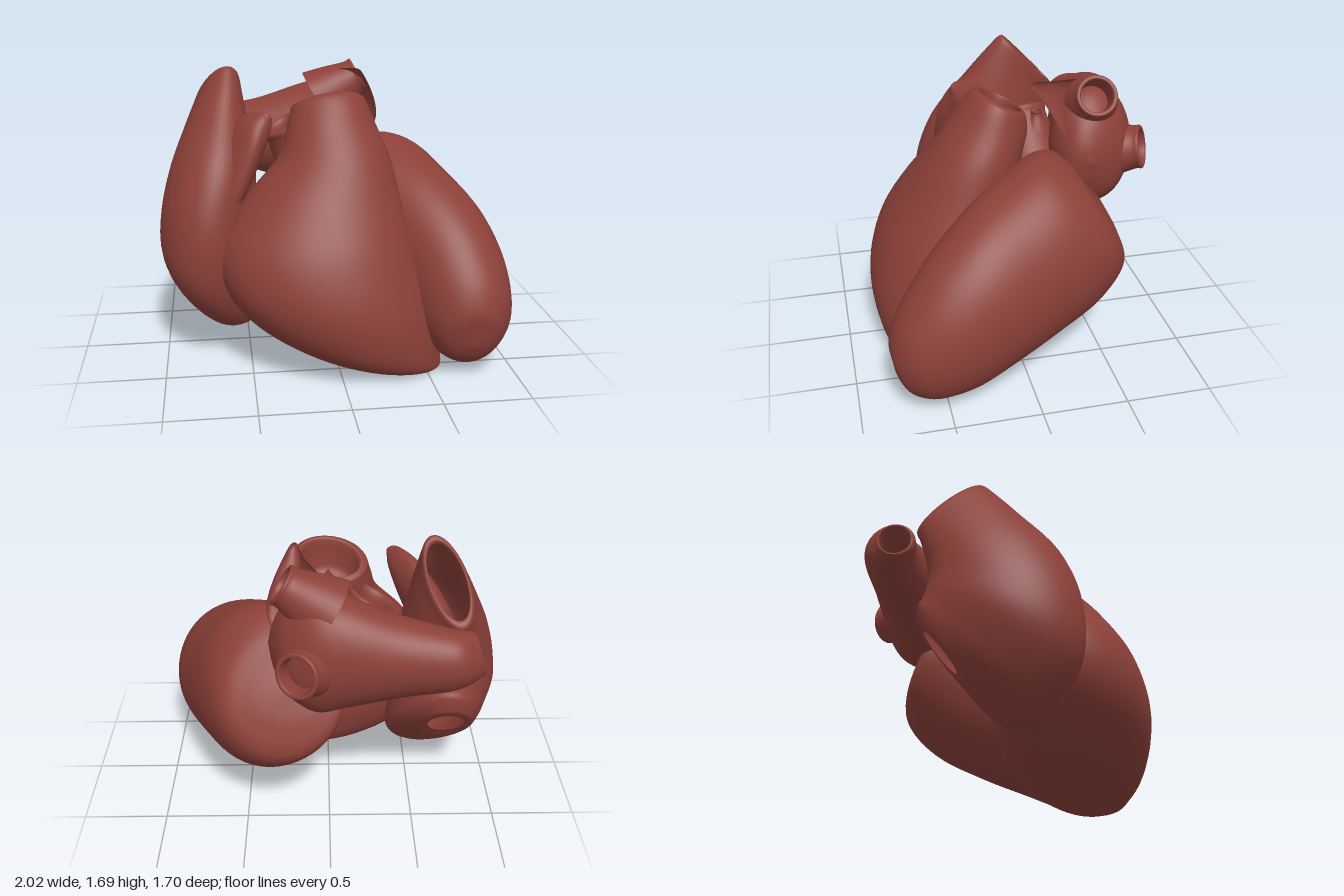
import * as THREE from 'three';

const muscle = new THREE.MeshStandardMaterial({ color: 0x8c4039 });
muscle.name = 'heart muscle red';

const vec = (p) => new THREE.Vector3(...p);

// Smooth skin through elliptical rings. Each ring is [A, B, W]:
// A and B are opposite ends of one axis, W is the other half axis.
function loft(name, rings, sides = 56, steps = 7) {
  const spline = (k) => new THREE.CatmullRomCurve3(rings.map((r) => vec(r[k])), false, 'catmullrom', 0.5);
  const [a, b, w] = [0, 1, 2].map(spline);
  const rows = (rings.length - 1) * steps;
  const pos = [], index = [], pts = [];
  for (let i = 0; i <= rows; i++) {
    const A = a.getPoint(i / rows), B = b.getPoint(i / rows), W = w.getPoint(i / rows);
    const mid = A.clone().add(B).multiplyScalar(0.5), half = A.clone().sub(mid);
    for (let j = 0; j < sides; j++) {
      const t = (j / sides) * Math.PI * 2;
      const p = mid.clone().addScaledVector(half, Math.cos(t)).addScaledVector(W, Math.sin(t));
      pts.push(p);
      pos.push(p.x, p.y, p.z);
    }
  }
  for (let i = 0; i < rows; i++) {
    for (let j = 0; j < sides; j++) {
      const k = (j + 1) % sides, p = i * sides, q = p + sides;
      index.push(p + j, p + k, q + k, p + j, q + k, q + j);
    }
  }
  // Turn the faces outward if the enclosed volume comes out negative
  let volume = 0;
  const cross = new THREE.Vector3();
  for (let i = 0; i < index.length; i += 3) {
    volume += pts[index[i]].dot(cross.crossVectors(pts[index[i + 1]], pts[index[i + 2]]));
  }
  if (volume < 0) index.reverse();
  const geo = new THREE.BufferGeometry();
  geo.setAttribute('position', new THREE.Float32BufferAttribute(pos, 3));
  geo.setIndex(index);
  geo.computeVertexNormals();
  const mesh = new THREE.Mesh(geo, muscle);
  mesh.name = name;
  return mesh;
}

// Ring shrunk about its centre, for the inside of a wall
function shrink([A, B, W], s) {
  const mid = A.map((v, i) => (v + B[i]) / 2);
  return [A, B].map((P) => P.map((v, i) => mid[i] + (v - mid[i]) * s)).concat([W.map((v) => v * s)]);
}

const point = (p) => [p, p, [0, 0, 0]];

// Short open vessel: outer wall, rounded lip and a hollow that ends inside
function vessel(name, from, to, r0, r1, depth = 0.6) {
  const s = vec(from), e = vec(to), d = e.clone().sub(s).normalize();
  const u = new THREE.Vector3(0, 1, 0).addScaledVector(d, -d.y).normalize();
  const v = new THREE.Vector3().crossVectors(d, u);
  const ring = (t, r) => {
    const c = s.clone().lerp(e, t);
    return [c.clone().addScaledVector(u, r).toArray(), c.clone().addScaledVector(u, -r).toArray(),
      v.clone().multiplyScalar(r).toArray()];
  };
  return loft(name, [ring(0, r0), ring(0.45, (r0 + r1) / 2), ring(0.85, r1), ring(0.97, r1), ring(1, r1 * 0.9),
    ring(0.93, r1 * 0.76), ring(1 - depth, r1 * 0.65), ring(0.95 - depth, 0)], 36, 5);
}

export function createModel() {
  const heart = new THREE.Group();
  heart.name = 'heart';

  // Left ventricle, from the apex back to its base
  heart.add(loft('leftVentricle', [
    point([0.72, 0.22, 0.785]),
    [[0.73, 0.32, 0.8], [0.72, 0.13, 0.735], [0.09, 0, 0]],
    [[0.73, 0.44, 0.81], [0.72, 0.07, 0.66], [0.17, 0, 0]],
    [[0.72, 0.62, 0.74], [0.72, 0.05, 0.53], [0.255, 0, 0]],
    [[0.66, 0.85, 0.57], [0.7, 0.09, 0.32], [0.32, 0, 0]],
    [[0.56, 1.04, 0.35], [0.6, 0.16, 0.08], [0.38, 0, 0]],
    [[0.43, 1.18, 0.1], [0.47, 0.24, -0.2], [0.41, 0, 0]],
    [[0.33, 1.27, -0.13], [0.37, 0.36, -0.48], [0.4, 0, 0]],
    [[0.26, 1.2, -0.31], [0.28, 0.54, -0.65], [0.36, 0, 0]],
    [[0.22, 1.06, -0.42], [0.24, 0.73, -0.62], [0.24, 0, 0]],
    point([0.22, 0.92, -0.53]),
  ]));

  // Right ventricle, rising to the open pulmonary outlet
  const outlet = [[0.0, 1.565, 0.16], [-0.02, 1.41, -0.12], [0.205, 0.02, 0]];
  heart.add(loft('rightVentricle', [
    point([0.25, 0.045, 0.5]),
    [[0.25, 0.03, 0.68], [0.2, 0.07, 0.25], [0.34, -0.05, 0]],
    [[0.12, 0.16, 0.8], [0.0, 0.2, 0.0], [0.54, -0.1, 0]],
    [[0.0, 0.42, 0.84], [-0.1, 0.45, -0.1], [0.6, -0.06, 0]],
    [[-0.07, 0.72, 0.76], [-0.15, 0.75, -0.1], [0.55, 0, 0]],
    [[-0.04, 1.0, 0.6], [-0.08, 0.98, -0.1], [0.44, 0, 0]],
    [[0.02, 1.23, 0.44], [0.0, 1.18, -0.1], [0.32, 0, 0]],
    [[0.01, 1.42, 0.3], [0.0, 1.31, -0.13], [0.26, 0, 0]],
    [[0.0, 1.54, 0.205], [-0.01, 1.39, -0.13], [0.225, 0.01, 0]],
    outlet,
    shrink(outlet, 0.84),
    [[0.0, 1.44, 0.13], [0.0, 1.3, -0.09], [0.16, 0, 0]],
    [[0.0, 1.36, 0.11], [0.0, 1.23, -0.08], [0.14, 0, 0]],
    point([0.0, 1.28, 0.01]),
  ]));

  // Right atrium: a hollow sac running from the lower to the upper great vein
  const sac = [
    [[-0.7, 0.7, -0.44], [-0.7, 0.42, -0.22], [0.13, 0, 0]],
    [[-0.7, 0.74, -0.46], [-0.68, 0.34, -0.16], [0.17, 0, 0]],
    [[-0.7, 0.82, -0.46], [-0.58, 0.2, 0.0], [0.25, 0, 0]],
    [[-0.7, 0.86, -0.44], [-0.6, 0.18, 0.22], [0.29, 0, 0]],
    [[-0.7, 0.92, -0.42], [-0.73, 0.45, 0.42], [0.3, 0, 0]],
    [[-0.7, 1.0, -0.41], [-0.74, 0.8, 0.44], [0.28, 0, 0]],
    [[-0.7, 1.1, -0.42], [-0.68, 1.15, 0.33], [0.25, 0, 0]],
    [[-0.71, 1.18, -0.44], [-0.63, 1.45, 0.1], [0.19, 0, 0]],
    [[-0.72, 1.25, -0.46], [-0.6, 1.62, -0.04], [0.145, 0, 0]],
    [[-0.72, 1.3, -0.48], [-0.59, 1.69, -0.11], [0.12, 0, 0]],
  ];
  const lining = sac.map((r) => shrink(r, 0.84)).reverse();
  heart.add(loft('rightAtrium', [...sac, ...lining, sac[0]], 48, 5));

  // Ear-shaped flap of the right atrium
  heart.add(loft('rightAtrialAppendage', [
    [[-0.78, 1.05, 0.02], [-0.7, 0.6, 0.15], [0.06, 0.03, 0.25]],
    [[-0.66, 1.28, 0.02], [-0.56, 0.9, 0.14], [0.06, 0.03, 0.25]],
    [[-0.54, 1.42, 0.08], [-0.44, 1.15, 0.16], [0.03, 0.02, 0.19]],
    [[-0.44, 1.47, 0.18], [-0.37, 1.33, 0.2], [0.01, 0.01, 0.07]],
    [[-0.39, 1.47, 0.23], [-0.355, 1.41, 0.23], [0, 0, 0.02]],
    point([-0.355, 1.45, 0.24]),
  ], 40));

  // Left atrium, lying across the back, open at the right pulmonary vein
  const mouth = [[-0.76, 1.34, -0.6], [-0.83, 1.07, -0.58], [0, 0, 0.115]];
  heart.add(loft('leftAtrium', [
    point([-0.45, 1.2, -0.6]),
    [[-0.5, 1.29, -0.61], [-0.52, 1.11, -0.59], [0, 0, 0.08]],
    shrink(mouth, 0.75),
    mouth,
    [[-0.66, 1.37, -0.64], [-0.68, 1.02, -0.62], [0, 0, 0.155]],
    [[-0.4, 1.42, -0.59], [-0.4, 0.95, -0.57], [0, 0, 0.2]],
    [[-0.1, 1.52, -0.55], [-0.1, 0.86, -0.53], [0, 0, 0.24]],
    [[0.1, 1.57, -0.49], [0.08, 0.83, -0.53], [0, 0, 0.25]],
    [[0.24, 1.45, -0.47], [0.24, 0.92, -0.49], [0, 0, 0.19]],
    [[0.31, 1.32, -0.44], [0.31, 1.05, -0.45], [0, 0, 0.1]],
    point([0.34, 1.2, -0.44]),
  ]));

  // Pointed flap of the left atrium
  heart.add(loft('leftAtrialAppendage', [
    [[0.06, 1.6, -0.5], [0.14, 1.15, -0.5], [0.18, 0, 0.02]],
    [[0.12, 1.63, -0.4], [0.24, 1.22, -0.4], [0.15, 0, 0.02]],
    [[0.17, 1.65, -0.26], [0.29, 1.28, -0.33], [0.09, 0, 0.02]],
    [[0.19, 1.66, -0.16], [0.22, 1.5, -0.21], [0.045, 0, 0]],
    [[0.19, 1.655, -0.12], [0.2, 1.6, -0.14], [0.02, 0, 0]],
    point([0.19, 1.63, -0.11]),
  ], 40));

  // Left pulmonary veins
  heart.add(vessel('leftUpperPulmonaryVein', [0.0, 1.42, -0.5], [0.26, 1.58, -0.48], 0.2, 0.12));
  heart.add(vessel('leftLowerPulmonaryVein', [0.03, 1.14, -0.53], [0.18, 1.2, -0.8], 0.2, 0.13));

  // Root of the aorta and the small artery opening on it
  heart.add(vessel('aorticRoot', [-0.02, 0.92, -0.2], [-0.25, 1.34, -0.16], 0.24, 0.15, 0.35));
  heart.add(vessel('coronaryOpening', [-0.1, 1.2, -0.22], [-0.09, 1.38, -0.22], 0.12, 0.035, 0.3));

  // Three-cusped valves inside both outlets
  const cusps = (name, p, r, tilt) => {
    const cone = new THREE.Mesh(new THREE.ConeGeometry(r, r, 3), muscle);
    cone.name = name;
    cone.position.set(...p);
    cone.rotation.set(...tilt);
    heart.add(cone);
  };
  cusps('pulmonaryValve', [0, 1.36, 0.01], 0.13, [-0.5, 0, 0]);
  cusps('aorticValve', [-0.2, 1.24, -0.17], 0.09, [0, 0, 0.5]);

  return heart;
}
